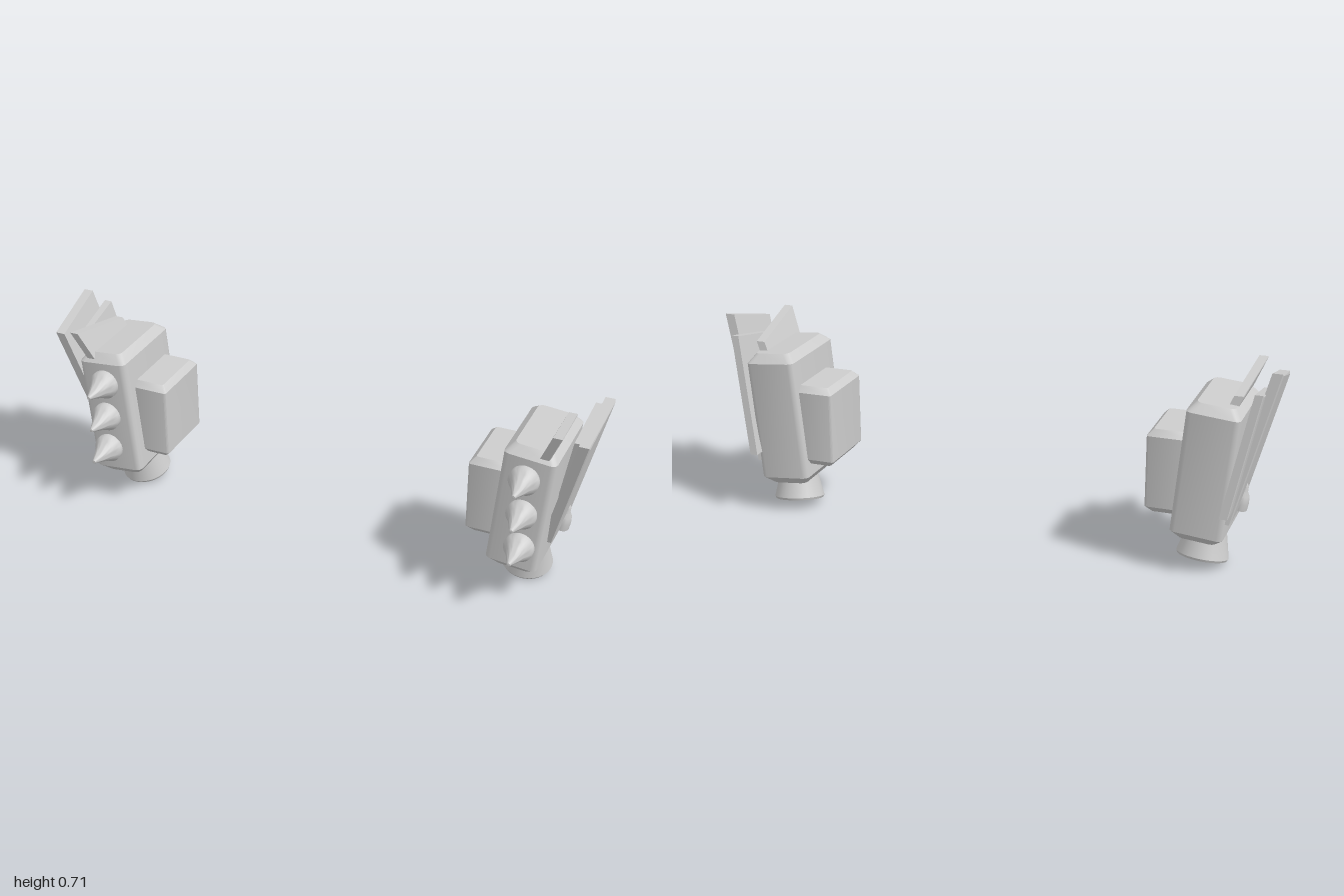
import * as THREE from 'three';
import { ConvexGeometry } from 'three/addons/geometries/ConvexGeometry.js';
import { toCreasedNormals } from 'three/addons/utils/BufferGeometryUtils.js';

const metal = new THREE.MeshStandardMaterial({ color: 0xcccccc });
metal.name = 'light grey metal';

function add(group, name, geometry) {
  const mesh = new THREE.Mesh(geometry, metal);
  mesh.name = name;
  group.add(mesh);
  return mesh;
}

// Upright block: rounded vertical edges, chamfered top and bottom rims
function block(w, h, d, radius, bevelY, insetX, insetZ) {
  const pts = [];
  for (const y of [-1, 1]) for (const inset of [0, 1]) {
    for (const x of [-1, 1]) for (const z of [-1, 1]) for (let i = 0; i <= 3; i++) {
      const a = i * Math.PI / 6;
      pts.push(new THREE.Vector3(
        x * (w / 2 - inset * insetX - radius * (1 - Math.cos(a))),
        y * (h / 2 - (1 - inset) * bevelY),
        z * (d / 2 - inset * insetZ - radius * (1 - Math.sin(a)))));
    }
  }
  return toCreasedNormals(new ConvexGeometry(pts), 0.6);
}

// Leaning plate: outline corners [z, y], outer x given by a slope in y
function plate(side, corners, xAt, thickness, bevel) {
  const cz = corners.reduce((a, c) => a + c[0], 0) / corners.length;
  const cy = corners.reduce((a, c) => a + c[1], 0) / corners.length;
  const pts = [];
  for (const [z, y] of corners) {
    const iz = z - Math.sign(z - cz) * bevel, iy = y - Math.sign(y - cy) * bevel;
    pts.push(
      new THREE.Vector3(side * xAt(iy), iy, iz),
      new THREE.Vector3(side * (xAt(y) - bevel * 0.5), y, z),
      new THREE.Vector3(side * (xAt(y) - thickness), y, z));
  }
  return new ConvexGeometry(pts);
}

function lathe(profile, segments = 32) {
  const pts = profile.map(([r, y]) => new THREE.Vector2(r, y));
  return toCreasedNormals(new THREE.LatheGeometry(pts, segments), 0.6);
}

function buildPod(side) {
  const pod = new THREE.Group();
  pod.name = side > 0 ? 'leftPod' : 'rightPod';

  // Main housing, leaning outward
  const body = add(pod, 'housing', block(0.182, 0.488, 0.33, 0.02, 0.03, 0.026, 0.03));
  body.position.set(side * 0.775, 0.352, -0.04);
  body.rotation.z = -side * 0.095;

  // Upright box on the inner side
  const box = add(pod, 'innerBox', block(0.16, 0.295, 0.25, 0.008, 0.022, 0.02, 0.02));
  box.position.set(side * 0.652, 0.338, -0.055);

  // Three spikes on the front
  const spike = lathe([[0.0525, -0.02], [0.0525, 0.016], [0.041, 0.034], [0.031, 0.053],
    [0.019, 0.083], [0.006, 0.117], [0, 0.119]]);
  [0.488, 0.355, 0.223].forEach((y, i) => {
    const m = add(pod, 'spike' + (i + 1), spike);
    m.position.set(side * 0.784, y, 0.125);
    m.rotation.x = Math.PI / 2;
  });

  // Exhaust nozzle below
  const nozzle = add(pod, 'nozzle', lathe([[0, 0], [0.086, 0], [0.09, 0.008], [0.067, 0.1], [0.064, 0.13]]));
  nozzle.position.set(side * 0.757, 0.019, -0.087);
  nozzle.rotation.set(0.22, 0, -side * 0.09);

  // Outer, rear and front armour plates
  add(pod, 'outerPlate', plate(side,
    [[0.11, 0.645], [-0.125, 0.708], [-0.19, 0.19], [0.025, 0.195]],
    y => 1.003 - 0.262 * (0.708 - y), 0.038, 0.008));
  add(pod, 'rearPlate', plate(side,
    [[0.03, 0.605], [-0.18, 0.648], [-0.242, 0.23], [-0.035, 0.23]],
    y => 0.953 - 0.2 * (0.648 - y), 0.03, 0.006));
  add(pod, 'frontPlate', plate(side,
    [[0.143, 0.677], [-0.13, 0.62], [-0.15, 0.5], [0.095, 0.5]],
    y => 0.904 - 0.42 * (0.677 - y), 0.033, 0.005));

  // Small pointed stud at the foot of the outer plate
  const stud = add(pod, 'stud', lathe([[0, 0], [0.031, 0], [0.03, 0.025], [0.025, 0.05],
    [0.015, 0.065], [0.012, 0.085], [0, 0.1]], 24));
  stud.position.set(side * 0.868, 0.208, -0.071);
  stud.rotation.z = -side * 0.25;

  return pod;
}

export function createModel() {
  const model = new THREE.Group();
  model.name = 'podPair';
  model.add(buildPod(1), buildPod(-1));
  return model;
}
